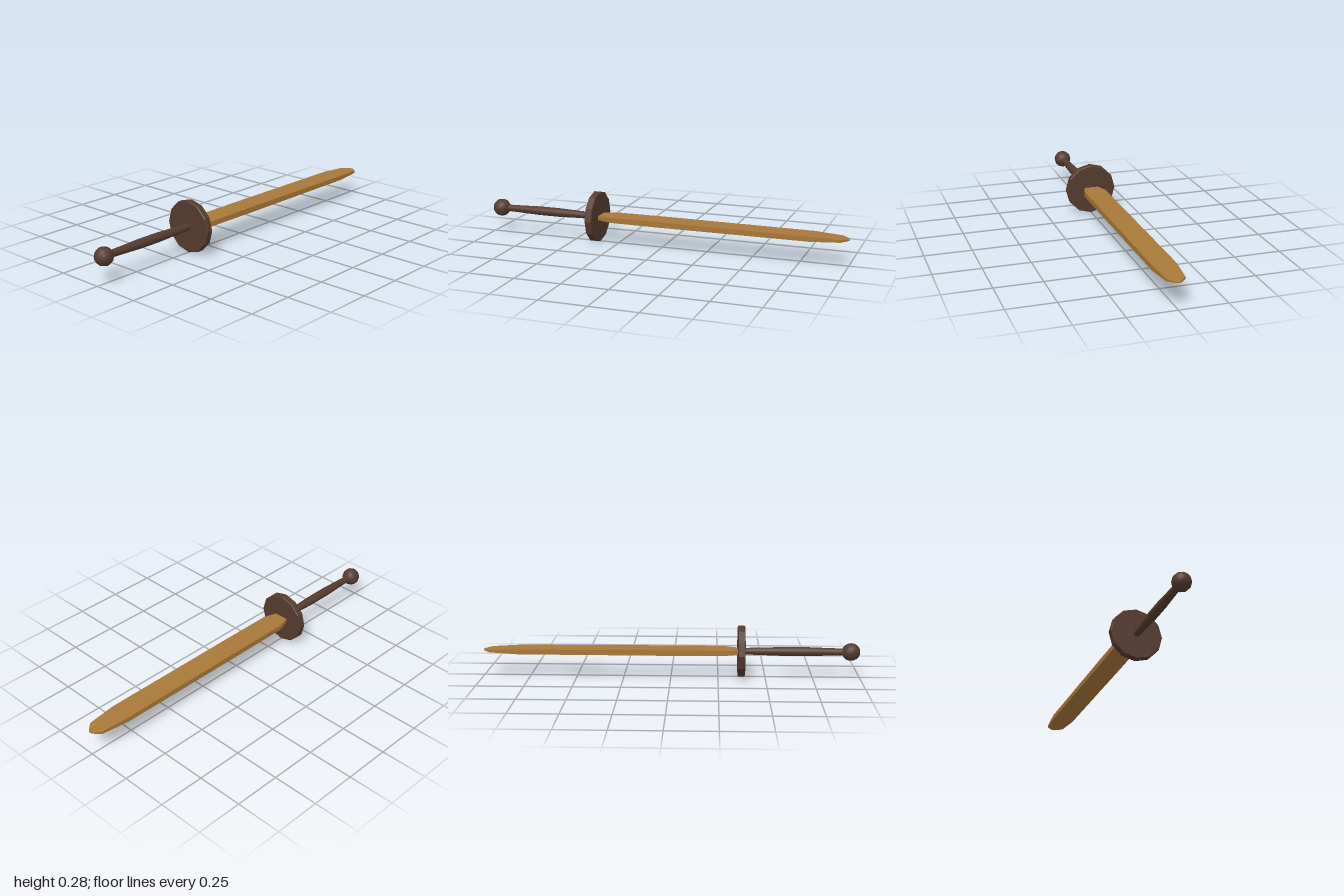
import * as THREE from 'three';
import { toCreasedNormals } from 'three/addons/utils/BufferGeometryUtils.js';

const CENTRE_Y = 0.139;

// Twelve-sided turned part lying along z, from [radius, z] points
function turned(points) {
  const profile = points.map(([r, z]) => new THREE.Vector2(r, z));
  return new THREE.LatheGeometry(profile, 12).rotateX(Math.PI / 2);
}

// Rectangular cross-sections [z, half width, half thickness], from hilt to tip
function bladeGeometry(sections) {
  const positions = [];
  const index = [];
  for (const [z, w, t] of sections) {
    positions.push(w, t, z, -w, t, z, -w, -t, z, w, -t, z);
  }
  for (let s = 0; s < sections.length - 1; s++) {
    for (let k = 0; k < 4; k++) {
      const a = s * 4 + k;
      const b = s * 4 + (k + 1) % 4;
      index.push(a, b + 4, b, a, a + 4, b + 4);
    }
  }
  const n = (sections.length - 1) * 4;
  index.push(0, 1, 2, 0, 2, 3, n, n + 2, n + 1, n, n + 3, n + 2);
  const geometry = new THREE.BufferGeometry();
  geometry.setAttribute('position', new THREE.Float32BufferAttribute(positions, 3));
  geometry.setIndex(index);
  return toCreasedNormals(geometry, 0.3);
}

export function createModel() {
  const model = new THREE.Group();
  model.name = 'woodenSword';

  const darkWood = new THREE.MeshStandardMaterial({ color: 0x553b2e });
  darkWood.name = 'dark wood';
  const lightWood = new THREE.MeshStandardMaterial({ color: 0xa87839 });
  lightWood.name = 'light wood';

  function add(name, geometry, material) {
    const mesh = new THREE.Mesh(geometry, material);
    mesh.name = name;
    mesh.position.y = CENTRE_Y;
    model.add(mesh);
    return mesh;
  }

  // Flat blade, tapered at both ends and thinned towards the tip
  add('blade', bladeGeometry([
    [0.354, 0.039, 0.011],
    [0.28, 0.06, 0.014],
    [0, 0.06, 0.015],
    [-0.81, 0.06, 0.013],
    [-0.96, 0.046, 0.007],
    [-0.99, 0.02, 0.004],
    [-1, 0.006, 0.003],
  ]), lightWood);

  // Round guard with slightly bevelled rims
  add('guard', toCreasedNormals(turned([
    [0, 0.354], [0.134, 0.354], [0.138, 0.358],
    [0.138, 0.388], [0.134, 0.392], [0, 0.392],
  ]), 0.3), darkWood);

  // Grip, swelling in the middle
  add('grip', turned([
    [0.018, 0.39], [0.021, 0.5], [0.0245, 0.6],
    [0.0245, 0.72], [0.021, 0.82], [0.018, 0.92],
  ]), darkWood);

  // Ball pommel
  const pommel = add('pommel', new THREE.SphereGeometry(0.048, 12, 10).rotateX(Math.PI / 2), darkWood);
  pommel.position.z = 0.952;

  return model;
}
